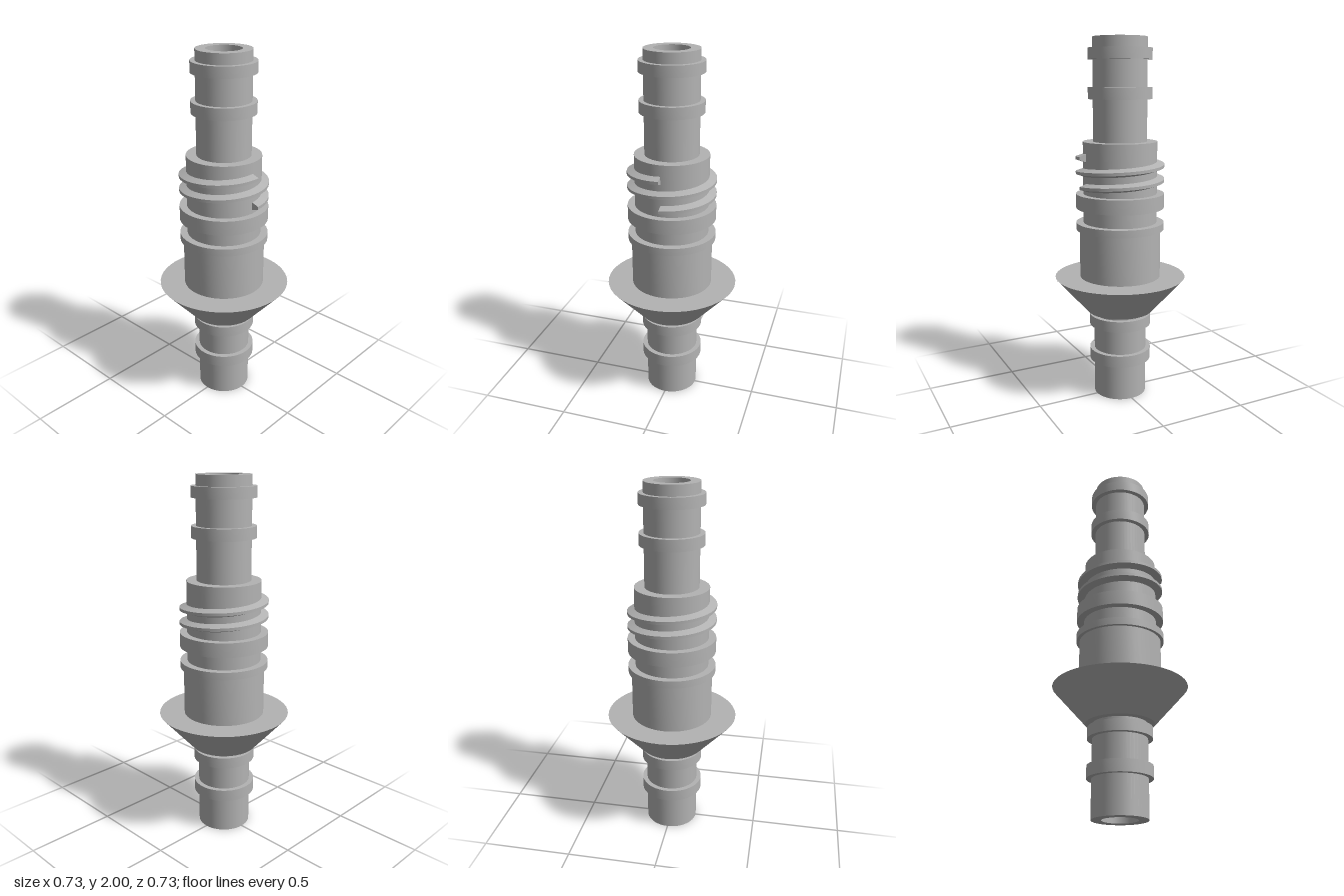
import * as THREE from 'three';
import { toCreasedNormals } from 'three/addons/utils/BufferGeometryUtils.js';

const SEGMENTS = 48;
const BORE = 0.094, PIPE = 0.147, BARB = 0.173, BODY = 0.203, FLANGE = 0.243;

// Helical ridge with a trapezoid section, rising counterclockwise from +x
function threadGeometry(y0, pitch, turns) {
  const section = [[BODY - 0.006, -0.024], [FLANGE, -0.008], [FLANGE, 0.008], [BODY - 0.006, 0.024]];
  const steps = SEGMENTS * turns, n = section.length;
  const positions = [], index = [];
  for (let i = 0; i <= steps; i++) {
    const t = (i / SEGMENTS) * Math.PI * 2;
    for (const [r, dy] of section) {
      positions.push(r * Math.cos(t), y0 + (pitch * i) / SEGMENTS + dy, -r * Math.sin(t));
    }
  }
  for (let i = 0; i < steps; i++) {
    for (let j = 0; j < n; j++) {
      const a = i * n + j, d = i * n + ((j + 1) % n);
      index.push(a, a + n, d + n, a, d + n, d);
    }
  }
  // End caps
  const e = steps * n;
  index.push(0, 1, 2, 0, 2, 3, e, e + 2, e + 1, e, e + 3, e + 2);
  const geometry = new THREE.BufferGeometry();
  geometry.setAttribute('position', new THREE.Float32BufferAttribute(positions, 3));
  geometry.setIndex(index);
  return toCreasedNormals(geometry, 0.4);
}

export function createModel() {
  const model = new THREE.Group();
  const metal = new THREE.MeshStandardMaterial({ color: 0xb3b3b3 });
  metal.name = 'greyMetal';

  const add = (name, geometry) => {
    const mesh = new THREE.Mesh(geometry, metal);
    mesh.name = name;
    model.add(mesh);
  };
  // Revolved part from [radius, height] points
  const turn = (name, points) => {
    const profile = points.map(([r, y]) => new THREE.Vector2(r, y));
    add(name, toCreasedNormals(new THREE.LatheGeometry(profile, SEGMENTS), 0.4));
  };
  // Solid collar, its inner edge sunk into the part it sits on
  const collar = (name, inner, outer, y0, y1) =>
    turn(name, [[inner, y0], [outer, y0], [outer, y1], [inner, y1]]);

  // Hollow pipe running the full height
  turn('pipe', [[BORE, 0], [PIPE, 0], [PIPE, 2], [BORE, 2], [BORE, 0]]);

  // Hose barbs at both ends
  [[0.204, 0.27], [0.411, 0.473], [1.677, 1.74], [1.884, 1.943]].forEach(([y0, y1], i) =>
    collar(`barb${i + 1}`, PIPE - 0.01, BARB, y0, y1));

  // Flared skirt
  turn('skirt', [[PIPE - 0.01, 0.493], [0.185, 0.493], [0.365, 0.694], [PIPE, 0.694]]);

  // Central body
  collar('sleeve', PIPE, 0.225, 0.69, 0.97);
  collar('body', PIPE - 0.01, BODY, 0.96, 1.451);
  collar('lowerFlange', BODY - 0.01, FLANGE, 0.964, 1.005);
  collar('upperFlange', BODY - 0.01, FLANGE, 1.086, 1.166);

  // Screw thread
  add('thread', threadGeometry(1.208, 0.08, 2));

  return model;
}
